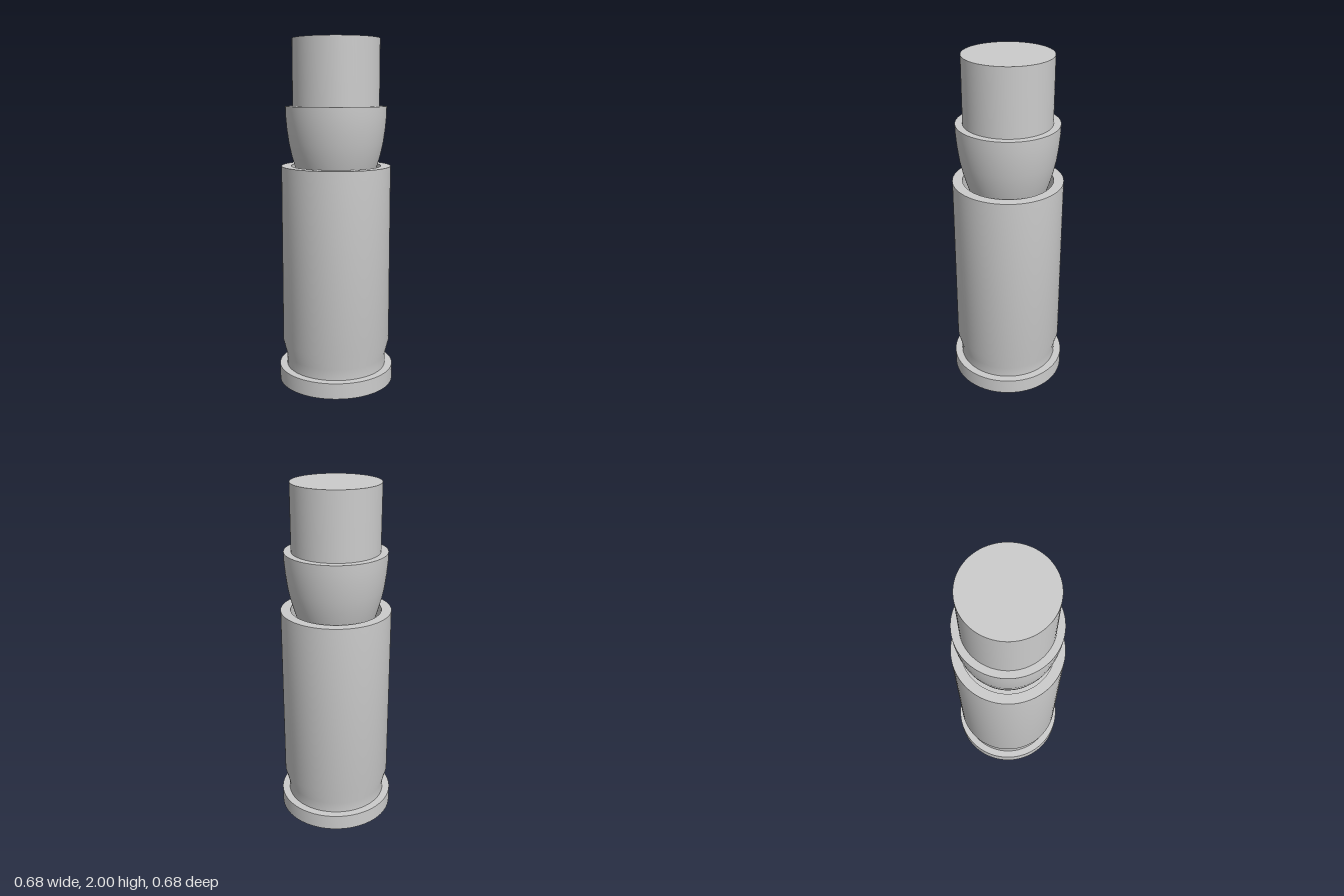
import * as THREE from 'three';
import { toCreasedNormals } from 'three/addons/utils/BufferGeometryUtils.js';

export function createModel() {
  const model = new THREE.Group();
  model.name = 'cartridge';
  const metal = new THREE.MeshStandardMaterial({ color: 0xcccccc });
  metal.name = 'light grey metal';

  // Turned part from [radius, height] pairs, listed bottom to top along the outside
  const turn = (name, profile) => {
    const points = profile.map(([r, y]) => new THREE.Vector2(r, y));
    const geometry = toCreasedNormals(new THREE.LatheGeometry(points, 96), 0.5);
    const mesh = new THREE.Mesh(geometry, metal);
    mesh.name = name;
    model.add(mesh);
  };

  // Flat rim disc at the foot
  turn('baseRim', [[0, 0], [0.338, 0], [0.338, 0.092], [0, 0.092]]);

  // Hollow case: narrow groove, sloped shoulder, straight wall, open mouth
  turn('case', [
    [0.294, 0.092], [0.294, 0.155], [0.317, 0.245], [0.315, 1.286],
    [0.258, 1.286], [0.258, 1.1], [0, 1.1],
  ]);

  // Flared cup seated in the mouth of the case
  turn('cup', [
    [0, 1.12], [0.18, 1.12], [0.21, 1.2], [0.238, 1.286], [0.256, 1.35],
    [0.271, 1.42], [0.282, 1.5], [0.288, 1.57], [0.289, 1.625], [0, 1.625],
  ]);

  // Plain cylindrical top
  turn('topCylinder', [[0.248, 1.625], [0.248, 2], [0, 2]]);

  return model;
}
